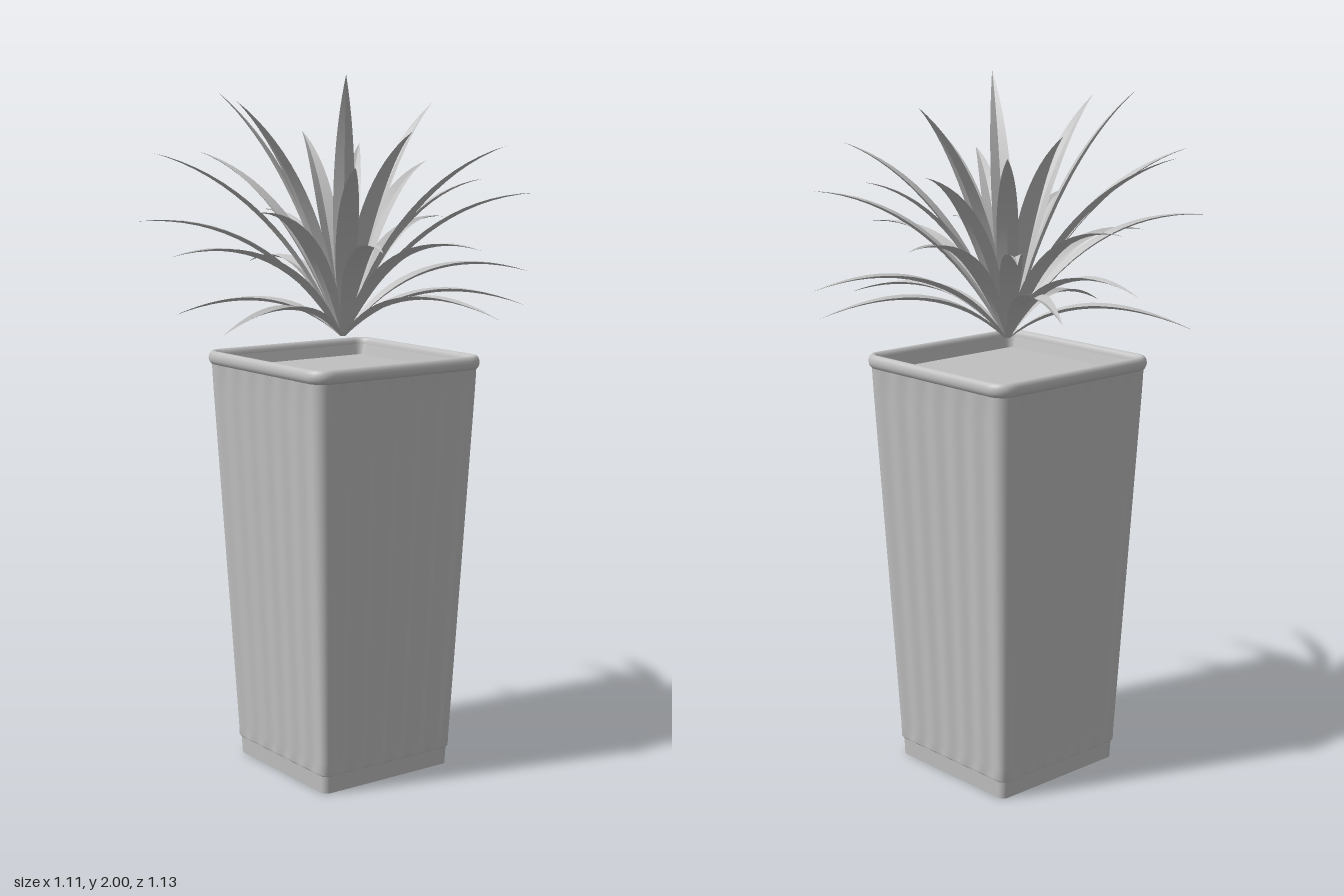
import * as THREE from 'three';

const CX = -0.035, CZ = -0.018; // pot axis
const CROWN_Y = 1.268; // where the leaves spring from

// Rounded-square outline with optional vertical flutes on the flat sides
function section(half, radius, flute) {
  const pts = [], flat = half - radius, steps = 48, ribs = 6;
  for (let side = 0; side < 4; side++) {
    const a = side * Math.PI / 2, c = Math.cos(a), s = Math.sin(a);
    for (let i = 0; i <= steps; i++) {
      const u = i / steps, t = (2 * u - 1) * flat;
      const n = half - flute * (0.5 - 0.5 * Math.cos(2 * Math.PI * ribs * u));
      pts.push([c * n - s * t, s * n + c * t]);
    }
    for (let i = 1; i < 6; i++) {
      const b = a + (i / 6) * Math.PI / 2;
      pts.push([(c - s) * flat + radius * Math.cos(b), (s + c) * flat + radius * Math.sin(b)]);
    }
  }
  return pts;
}

// Skin a stack of outlines; rows are [half width, y, corner radius, flute depth]
function loft(rows) {
  const pos = [], idx = [];
  let n = 0;
  for (const [half, y, radius, flute = 0] of rows) {
    const pts = section(half, radius, flute);
    n = pts.length;
    for (const [x, z] of pts) pos.push(x, y, z);
  }
  for (let r = 0; r < rows.length - 1; r++) {
    for (let i = 0; i < n; i++) {
      const a = r * n + i, b = r * n + (i + 1) % n;
      idx.push(a, a + n, b, b, a + n, b + n);
    }
  }
  return finish(pos, idx);
}

function finish(pos, idx) {
  const g = new THREE.BufferGeometry();
  g.setAttribute('position', new THREE.Float32BufferAttribute(pos, 3));
  g.setIndex(idx);
  g.computeVertexNormals();
  return g;
}

// Arching blade with a V-shaped channel, from the crown to a tip
function leafGeometry(tip) {
  const dx = tip[0] - CX, dz = tip[2] - CZ, R = Math.hypot(dx, dz);
  const out = new THREE.Vector3(dx / R, 0, dz / R);
  const side = new THREE.Vector3(-out.z, 0, out.x);
  const h = tip[1] - CROWN_Y;
  const at = (r, y) => new THREE.Vector3(CX + out.x * r, CROWN_Y + y, CZ + out.z * r);
  const lift = Math.min(0.13 + 0.8 * h, 0.22 + 0.4 * h);
  const curve = new THREE.QuadraticBezierCurve3(
    at(0.007, 0), at(0.4 * R, lift), at(1.01 * R, h));
  const pos = [], idx = [], steps = 16;
  // The two halves keep their own vertices so the keel stays sharp
  for (const sgn of [-1, 1]) {
    const start = pos.length / 3;
    for (let i = 0; i <= steps; i++) {
      const t = i / steps, p = curve.getPoint(t);
      const up = new THREE.Vector3().crossVectors(side, curve.getTangent(t)).normalize();
      const w = t < 0.4
        ? 0.007 + 0.023 * Math.sin((t / 0.4) * Math.PI / 2)
        : 0.03 * Math.cos(((t - 0.4) / 0.6) * Math.PI / 2);
      const e = p.clone().addScaledVector(side, sgn * w).addScaledVector(up, 0.4 * w);
      pos.push(p.x, p.y, p.z, e.x, e.y, e.z);
    }
    for (let i = 0; i < steps; i++) {
      const a = start + i * 2;
      if (sgn > 0) idx.push(a, a + 1, a + 2, a + 1, a + 3, a + 2);
      else idx.push(a, a + 2, a + 1, a + 1, a + 2, a + 3);
    }
  }
  return finish(pos, idx);
}

// Leaf tips, from the upright centre to the drooping outer blades
const LEAF_TIPS = [
  [0.20, 2.0, 0.14], [-0.265, 1.96, 0.25], [-0.09, 1.93, -0.38], [0.01, 1.93, 0.36],
  [-0.29, 1.85, -0.055], [0.28, 1.85, -0.02], [-0.34, 1.81, -0.30], [0.34, 1.81, -0.295],
  [-0.47, 1.79, 0.19], [-0.28, 1.79, 0.45], [0.40, 1.76, 0.255], [-0.18, 1.76, -0.435],
  [0.17, 1.715, -0.355], [0.34, 1.68, -0.40], [-0.525, 1.61, -0.07], [-0.31, 1.6, 0.485],
  [-0.24, 1.585, -0.545], [-0.415, 1.55, -0.335], [0.545, 1.545, -0.04], [0.47, 1.545, 0.22],
  [-0.01, 1.52, 0.56], [-0.55, 1.45, -0.035], [0.14, 1.44, -0.56], [-0.48, 1.395, -0.24],
  [0.16, 1.64, 0.40], [0.49, 1.35, -0.155], [0.20, 1.35, -0.49], [-0.455, 1.31, 0.285],
  [0.07, 1.31, 0.45],
];

export function createModel() {
  const grey = new THREE.MeshStandardMaterial({ color: 0xc0c0c0, side: THREE.DoubleSide });
  grey.name = 'plain grey';
  const model = new THREE.Group();
  model.name = 'pottedPlant';
  const add = (parent, name, geometry) => {
    const mesh = new THREE.Mesh(geometry, grey);
    mesh.name = name;
    parent.add(mesh);
    return mesh;
  };

  // Tapered square pot, open underneath
  const pot = new THREE.Group();
  pot.name = 'pot';
  pot.position.set(CX, 0, CZ);
  model.add(pot);
  add(pot, 'footBand', loft([[0.222, 0, 0.02], [0.224, 0.05, 0.02]]));
  add(pot, 'flutedBody', loft([
    [0.224, 0.05, 0.02, 0], [0.229, 0.056, 0.022, 0.004], [0.23, 0.09, 0.022, 0.007],
    [0.28, 1.1, 0.035, 0.007], [0.283, 1.16, 0.037, 0.003], [0.284, 1.19, 0.037, 0],
  ]));

  // Rolled rim and inner wall
  const rim = [];
  for (let i = 0; i <= 12; i++) {
    const a = -Math.PI / 2 + (i / 12) * Math.PI * 1.5;
    const r = 0.0135 * Math.cos(a);
    rim.push([0.2815 + r, 1.2 + 0.02 * Math.sin(a), 0.04 + r]);
  }
  add(pot, 'rim', loft(rim));
  add(pot, 'innerWall', loft([[0.268, 1.2, 0.027], [0.26, 1.168, 0.02]]));

  // Soil surface
  const soil = add(pot, 'soil', new THREE.PlaneGeometry(0.52, 0.52));
  soil.rotation.x = -Math.PI / 2;
  soil.position.y = 1.169;

  // Rosette of leaves
  const rosette = new THREE.Group();
  rosette.name = 'leaves';
  model.add(rosette);
  LEAF_TIPS.forEach((tip, i) => add(rosette, 'leaf' + (i + 1), leafGeometry(tip)));
  return model;
}
